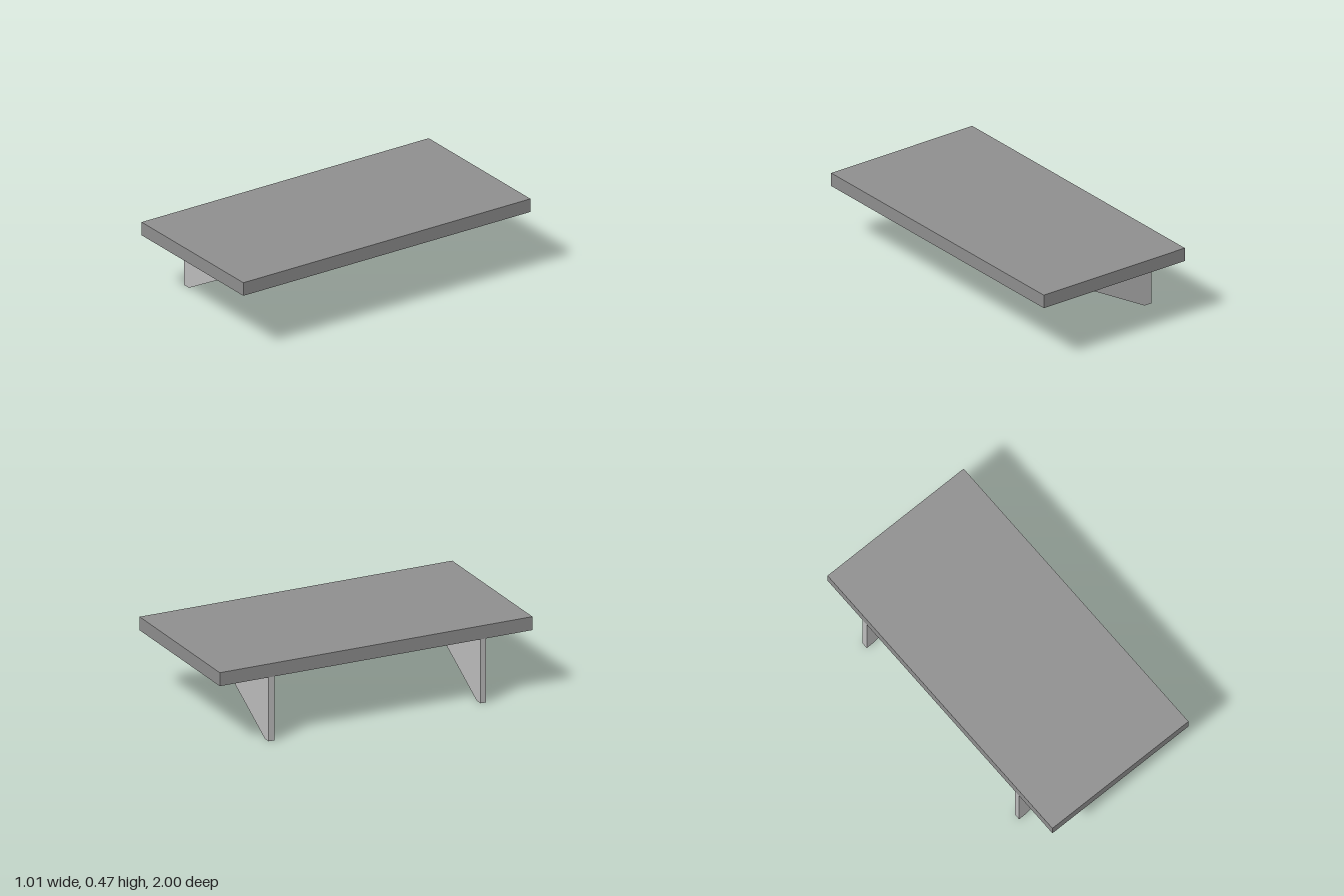
import * as THREE from 'three';

export function createModel() {
  const group = new THREE.Group();
  const shelfGrey = new THREE.MeshStandardMaterial({ color: 0x909090 });
  shelfGrey.name = 'shelfGrey';
  const bracketGrey = new THREE.MeshStandardMaterial({ color: 0xbfbfbf });
  bracketGrey.name = 'bracketGrey';

  // Flat shelf board
  const board = new THREE.Mesh(new THREE.BoxGeometry(1.012, 0.082, 2), shelfGrey);
  board.name = 'shelfBoard';
  board.position.y = 0.431;
  group.add(board);

  // Tapered bracket outline, extruded along z
  const outline = new THREE.Shape([
    [-0.506, 0], [-0.457, 0], [0.174, 0.345], [0.174, 0.39], [-0.506, 0.39],
  ].map(([x, y]) => new THREE.Vector2(x, y)));
  const thickness = 0.036;
  const bracketGeometry = new THREE.ExtrudeGeometry(outline, { depth: thickness, bevelEnabled: false });
  bracketGeometry.translate(0, 0, -thickness / 2);

  // One bracket near each end of the board
  for (const [name, z] of [['frontBracket', 0.686], ['backBracket', -0.669]]) {
    const bracket = new THREE.Mesh(bracketGeometry, bracketGrey);
    bracket.name = name;
    bracket.position.z = z;
    group.add(bracket);
  }

  return group;
}
